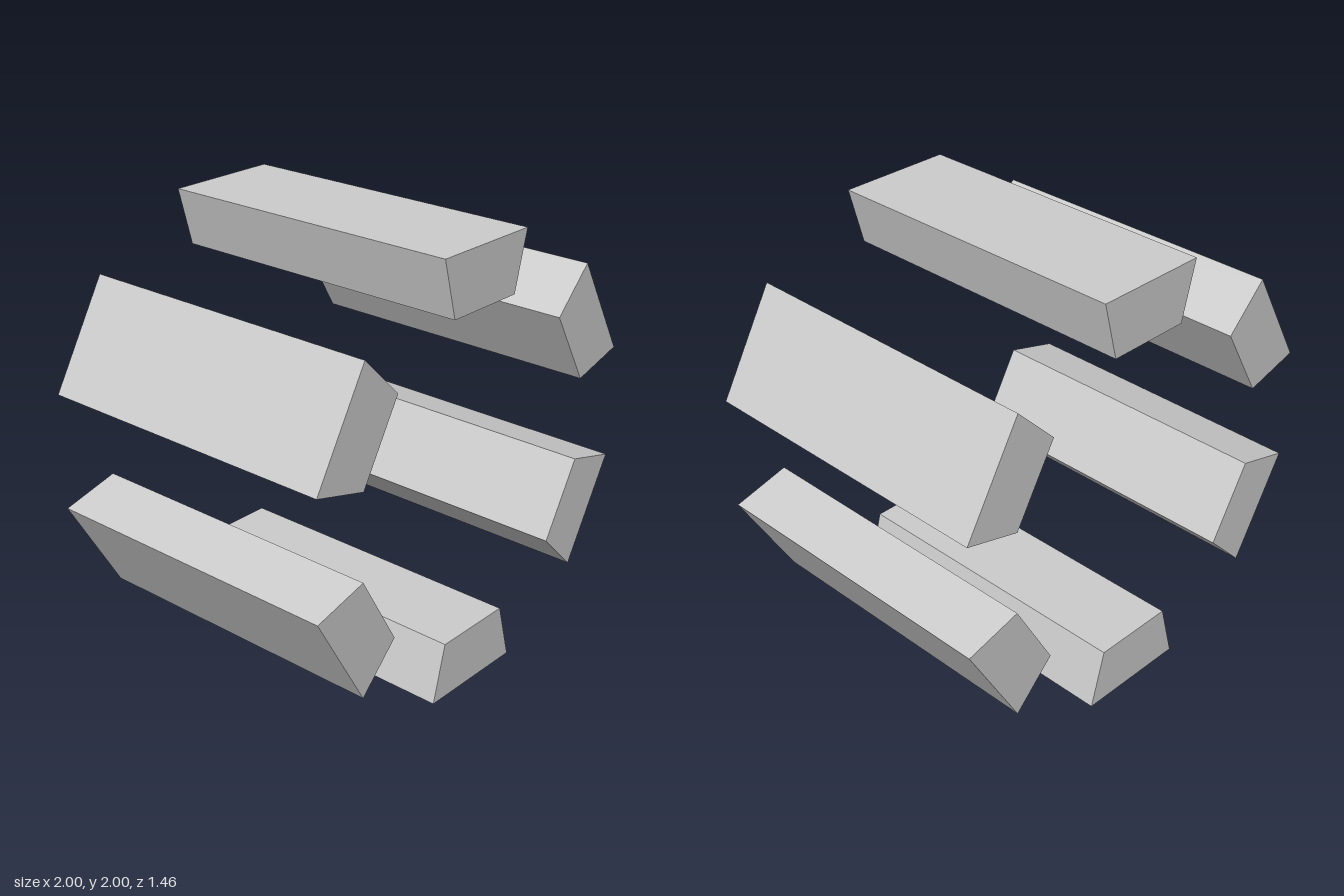
import * as THREE from 'three';

export function createModel() {
  const group = new THREE.Group();
  group.name = 'segmentRing';
  const material = new THREE.MeshStandardMaterial({ color: 0xcccccc, flatShading: true });

  // Every other wedge of a twelve-sided ring
  const outer = 1, inner = 0.735, depth = 1.46;
  const slope = Math.tan(Math.PI / 12);
  const profile = new THREE.Shape([
    new THREE.Vector2(-inner * slope, inner),
    new THREE.Vector2(inner * slope, inner),
    new THREE.Vector2(outer * slope, outer),
    new THREE.Vector2(-outer * slope, outer),
  ]);
  const geometry = new THREE.ExtrudeGeometry(profile, { depth, bevelEnabled: false });
  geometry.translate(0, 0, -depth / 2);

  // Six segments around the z axis, starting at the top
  for (let i = 0; i < 6; i++) {
    const segment = new THREE.Mesh(geometry, material);
    segment.name = `ringSegment${i + 1}`;
    segment.position.y = outer;
    segment.rotation.z = (i * Math.PI) / 3;
    group.add(segment);
  }
  return group;
}
